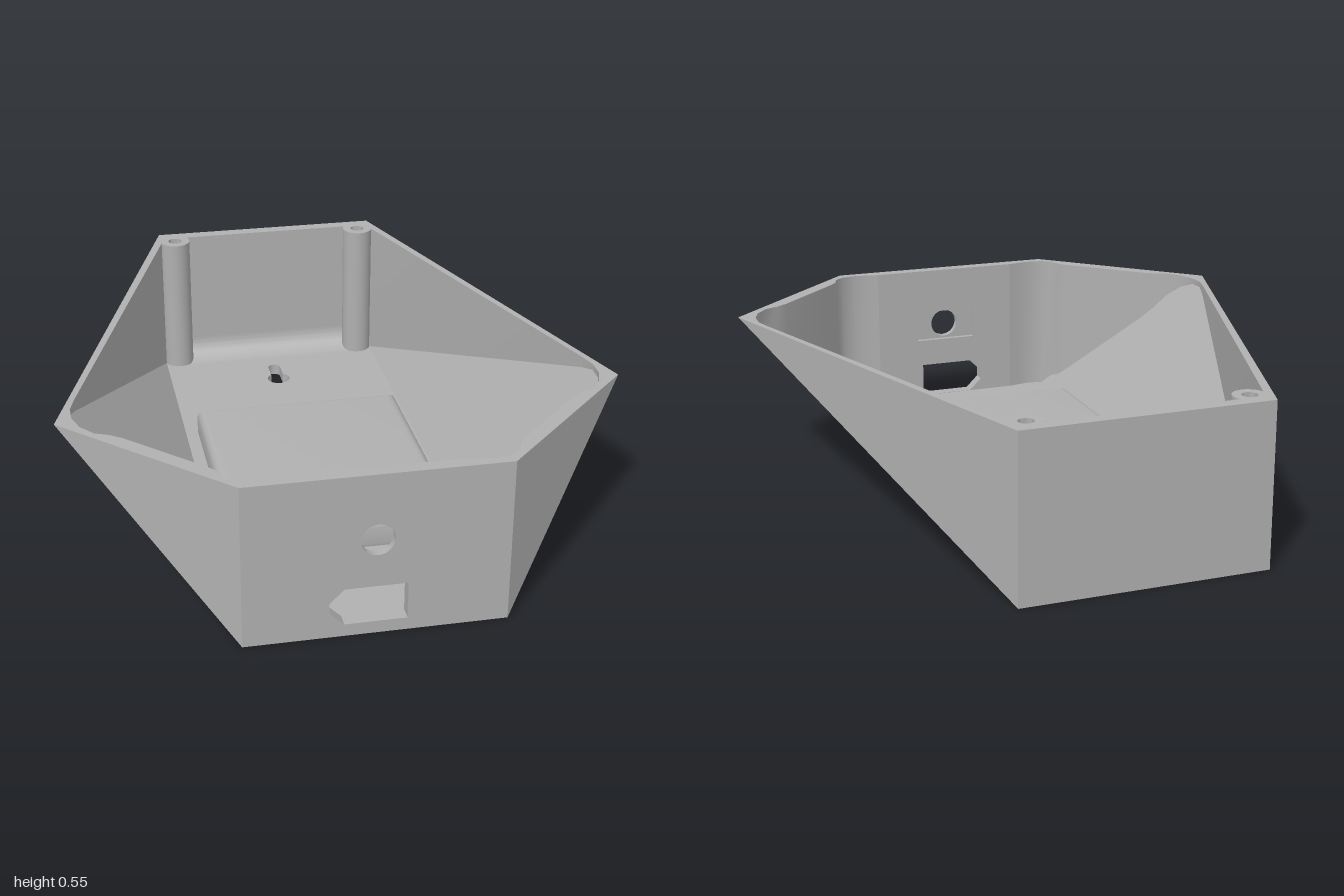
import * as THREE from 'three';
import { toCreasedNormals } from 'three/addons/utils/BufferGeometryUtils.js';

const W = 0.41, H = 0.545, FLOOR = 0.04;      // half width of base, height, floor thickness
const TIP_X = 0.9, TIP_Z = 0.51;              // widest points of the rim
const BOSS_X = 0.357, BOSS_Z = -0.925;

// Inner rim outline, left half, from back to front as [x, z]
const HALF = [
  [0.39, -0.955], [W, -0.91], [0.83, 0.36], [0.846, 0.42], [0.845, 0.48], [0.825, 0.54],
  [0.785, 0.59], [0.74, 0.61], [0.7, 0.64], [0.48, 0.86], [0.455, 0.89], [0.44, 0.935],
  [W, 0.96], [0.36, 0.97], [0.31, 0.963], [0.27, 0.955],
];

const innerY = (x) => FLOOR + Math.max(0, Math.abs(x) - W) * H / (TIP_X - W);
const shapeOf = (pts) => new THREE.Shape(pts.map(([a, b]) => new THREE.Vector2(a, b)));
// Plan shapes are given as [x, z] and laid flat, so depth runs up y
const plan = (pts) => shapeOf(pts.map(([x, z]) => [x, -z]));
const lay = (geo) => geo.rotateX(-Math.PI / 2);
const rect = (x0, x1, y0, y1) => [[x0, y0], [x1, y0], [x1, y1], [x0, y1]];
const circle = (x, y, r) => new THREE.Path().absarc(x, y, r, 0, Math.PI * 2);

function extrude(shape, depth, extra = {}) {
  return new THREE.ExtrudeGeometry(shape, { depth, bevelEnabled: false, curveSegments: 24, ...extra });
}

// Separate triangles from a list of corner points
function triangles(points) {
  const geo = new THREE.BufferGeometry();
  geo.setAttribute('position', new THREE.Float32BufferAttribute(points.flat(), 3));
  geo.computeVertexNormals();
  return geo;
}

export function createModel() {
  const group = new THREE.Group();
  const grey = new THREE.MeshStandardMaterial({ color: 0xb0b0b0, side: THREE.DoubleSide });
  grey.name = 'grey plastic';
  const add = (name, geo) => {
    const mesh = new THREE.Mesh(geo, grey);
    mesh.name = name;
    group.add(mesh);
    return mesh;
  };

  // Floor with keyhole and screw holes
  const floor = plan(rect(-W, W, -1, 1));
  const keyhole = new THREE.Path();
  const a = Math.acos(0.023 / 0.042);
  keyhole.absarc(0, 0.69, 0.042, Math.PI - a, Math.PI * 2 + a);
  keyhole.absarc(0, 0.79, 0.023, 0, Math.PI);
  keyhole.closePath();
  floor.holes.push(keyhole, circle(BOSS_X, -BOSS_Z, 0.04), circle(-BOSS_X, -BOSS_Z, 0.04));
  add('floor', lay(extrude(floor, FLOOR)));

  // Raised platform with rounded upper edges
  const r = 0.04;
  const platform = extrude(plan(rect(-0.367 + r, 0.367 - r, -0.303 + r, 0.583 - r)), 0.05, {
    bevelEnabled: true, bevelSize: r, bevelThickness: r, bevelSegments: 8,
  });
  add('platform', toCreasedNormals(lay(platform).translate(0, 0.05, 0), 0.5));

  // Outer back and faceted sides
  add('outerBack', triangles([
    [W, 0, -1], [-W, 0, -1], [-W, H, -1], [W, 0, -1], [-W, H, -1], [W, H, -1],
  ]));
  for (const s of [1, -1]) {
    const tip = [s * TIP_X, H, TIP_Z];
    const backLow = [s * W, 0, -1], backTop = [s * W, H, -1];
    const frontLow = [s * W, 0, 1], frontTop = [s * W, H, 1];
    const faces = [[backLow, backTop, tip], [backLow, tip, frontLow], [frontLow, tip, frontTop]];
    add(s > 0 ? 'outerSideLeft' : 'outerSideRight',
      triangles(faces.flatMap(([p, q, t]) => (s > 0 ? [p, q, t] : [p, t, q]))));
  }

  // Rim
  const outline = [...HALF, ...HALF.map(([x, z]) => [-x, z]).reverse()];
  const rim = plan([[W, -1], [TIP_X, TIP_Z], [W, 1], [-W, 1], [-TIP_X, TIP_Z], [-W, -1]]);
  rim.holes.push(plan(outline));
  add('rim', lay(new THREE.ShapeGeometry(rim)).translate(0, H, 0));

  // Upright inner walls, leaving out the front panel
  const wall = [];
  outline.forEach(([x0, z0], i) => {
    if (i === HALF.length - 1) return;
    const [x1, z1] = outline[(i + 1) % outline.length];
    const low0 = [x0, innerY(x0), z0], low1 = [x1, innerY(x1), z1];
    const top0 = [x0, H, z0], top1 = [x1, H, z1];
    wall.push(low0, low1, top1, low0, top1, top0);
  });
  add('innerWalls', toCreasedNormals(triangles(wall), 0.7));

  // Sloping inner sides
  for (const s of [1, -1]) {
    const geo = lay(new THREE.ShapeGeometry(plan(HALF.slice(1, 13).map(([x, z]) => [s * x, z]))));
    const pos = geo.attributes.position;
    for (let i = 0; i < pos.count; i++) pos.setY(i, innerY(pos.getX(i)));
    geo.computeVertexNormals();
    add(s > 0 ? 'innerSlopeLeft' : 'innerSlopeRight', geo);
  }

  // Front panel: outer layer with round hole, inner layer with a rectangular recess
  const socket = () => shapeOf([
    [-0.145, 0.085], [-0.1, 0.041], [0.095, 0.041], [0.095, 0.165], [-0.1, 0.165], [-0.145, 0.12],
  ]);
  const outer = shapeOf(rect(-W, W, 0, H));
  outer.holes.push(circle(0, 0.325, 0.052), socket());
  add('frontPanel', extrude(outer, 0.025).translate(0, 0, 0.975));
  const inner = shapeOf(rect(-0.27, 0.27, 0.01, H));
  inner.holes.push(shapeOf(rect(-0.115, 0.115, 0.265, 0.38)), socket());
  add('frontPanelLining', extrude(inner, 0.02).translate(0, 0, 0.955));

  // Concave fillet along the back of the floor
  const f = 0.08, cove = new THREE.Shape();
  cove.moveTo(0.955, FLOOR);
  cove.lineTo(0.955, FLOOR + f);
  cove.absarc(0.955 - f, FLOOR + f, f, 0, -Math.PI / 2, true);
  cove.closePath();
  const coveGeo = extrude(cove, 0.63, { curveSegments: 10 }).rotateY(Math.PI / 2).translate(-0.315, 0, 0);
  add('backFillet', toCreasedNormals(coveGeo, 0.5));

  // Screw posts with counterbored holes
  const post = [[0.055, 0.03], [0.055, H], [0.025, H], [0.025, 0.05], [0.04, 0.05], [0.04, 0]]
    .map(([x, y]) => new THREE.Vector2(x, y));
  const postGeo = toCreasedNormals(new THREE.LatheGeometry(post, 32), 0.6);
  for (const s of [1, -1]) {
    add(s > 0 ? 'screwPostLeft' : 'screwPostRight', postGeo).position.set(s * BOSS_X, 0, BOSS_Z);
  }
  return group;
}
